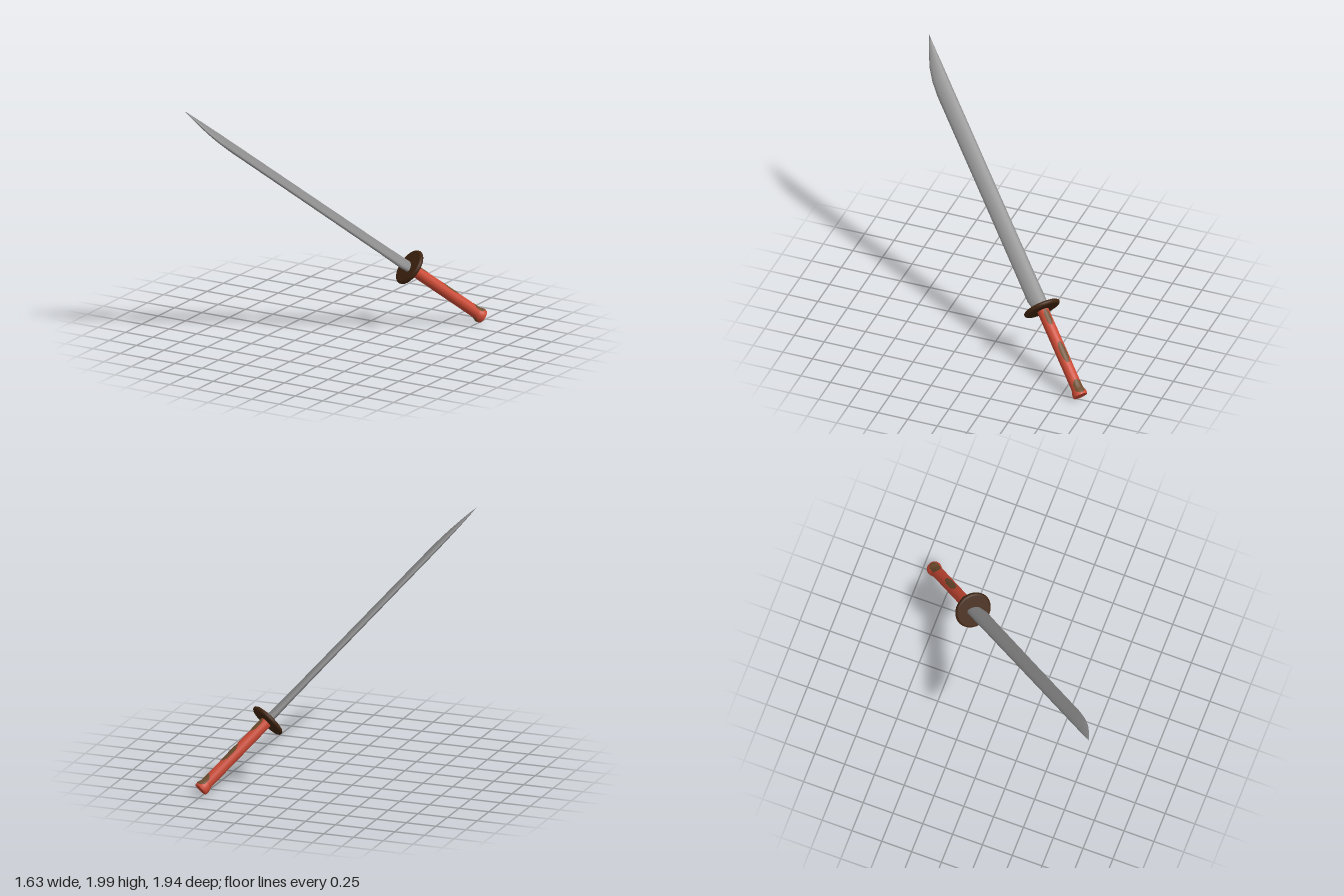
import * as THREE from 'three';
import { mergeVertices } from 'three/addons/utils/BufferGeometryUtils.js';

const mat = (name, color, side = THREE.FrontSide) => {
  const m = new THREE.MeshStandardMaterial({ color, side });
  m.name = name;
  return m;
};

// Smooth surface from a rule fn(row, col) -> [x, y, z]; columns turn from +x to +z
function surface(rows, cols, fn) {
  const pos = [], index = [];
  for (let i = 0; i <= rows; i++)
    for (let j = 0; j <= cols; j++) pos.push(...fn(i, j));
  const w = cols + 1;
  for (let i = 0; i < rows; i++)
    for (let j = 0; j < cols; j++) {
      const a = i * w + j, b = a + w;
      index.push(a, b, a + 1, b, b + 1, a + 1);
    }
  let g = new THREE.BufferGeometry();
  g.setAttribute('position', new THREE.Float32BufferAttribute(pos, 3));
  g.setIndex(index);
  g = mergeVertices(g, 1e-5);
  g.computeVertexNormals();
  return g;
}

const lathe = (pts, n) =>
  new THREE.LatheGeometry(pts.map(([r, y]) => new THREE.Vector2(r, y)), n);

// Handle radius along its length, flaring into the pommel
const handleEnd = -0.77;
const handleRadius = (y) =>
  0.047 + 0.012 * THREE.MathUtils.smoothstep(-y, 0.7, 0.75);

export function createModel() {
  const steel = mat('steel', 0x8c8c8c);
  const brown = mat('dark brown', 0x402410);
  const red = mat('red', 0xcc4a35);
  const patchBrown = mat('patch brown', 0x6e4c2c, THREE.DoubleSide);

  const sword = new THREE.Group();
  sword.name = 'sword';
  const add = (name, geo, m) => {
    const mesh = new THREE.Mesh(geo, m);
    mesh.name = name;
    sword.add(mesh);
  };

  // Blade: [distance from guard, cutting edge, spine, half thickness]
  const stations = [
    [0.0, -0.062, 0.058, 0.034], [0.09, -0.084, 0.06, 0.031],
    [0.3, -0.082, 0.058, 0.027], [1.1, -0.081, 0.056, 0.025],
    [1.9, -0.082, 0.055, 0.024], [2.02, -0.072, 0.055, 0.022],
    [2.13, -0.048, 0.055, 0.018], [2.24, -0.008, 0.054, 0.012],
    [2.32, 0.026, 0.054, 0.006], [2.377, 0.054, 0.054, 0],
  ];
  const sides = 16;
  add('blade', surface(stations.length - 1, sides, (i, j) => {
    const [y, edge, spine, t] = stations[i];
    const f = (j / sides) * Math.PI * 2;
    return [(edge + spine) / 2 + ((spine - edge) / 2) * Math.cos(f), y, t * Math.sin(f)];
  }), steel);

  // Round guard with a softened rim
  add('guard', lathe([
    [0, -0.019], [0.132, -0.019], [0.14, -0.017], [0.148, -0.01], [0.151, 0],
    [0.148, 0.01], [0.14, 0.017], [0.132, 0.019], [0, 0.019],
  ], 40), brown);

  // Handle with flared pommel, and its flat end
  const profile = [[0.057, handleEnd]];
  for (const y of [-0.755, -0.74, -0.73, -0.72, -0.71, -0.7, 0]) profile.push([handleRadius(y), y]);
  add('handle', lathe(profile, 32), red);
  const cap = new THREE.CircleGeometry(0.057, 32);
  cap.rotateX(Math.PI / 2).translate(0, handleEnd, 0);
  add('pommelEnd', cap, red);

  // Worn patches that hug the handle: centre angle, start, end, half angle
  const up = 1.18;
  [
    [up, -0.02, -0.16, 0.5],
    [up, -0.31, -0.49, 0.6],
    [up, -0.64, -0.755, 0.85],
    [up + Math.PI, -0.69, -0.755, 0.7],
  ].forEach(([angle, y0, y1, half], k) => {
    add(`handlePatch${k + 1}`, surface(8, 8, (i, j) => {
      const y = THREE.MathUtils.lerp(y1, y0, i / 8);
      const taper = Math.min(1, 0.35 + 0.325 * Math.min(i, 8 - i));
      const f = angle + half * taper * (j / 4 - 1);
      const r = handleRadius(y) + 0.0015;
      return [r * Math.cos(f), y, r * Math.sin(f)];
    }), patchBrown);
  });

  // Lay the sword along the diagonal: y to the tip, x to the spine
  const along = new THREE.Vector3(-0.494, 0.613, 0.617).normalize();
  const flat = new THREE.Vector3(-0.57, 0.3, -0.77).cross(along).normalize();
  const spineDir = along.clone().cross(flat);
  sword.quaternion.setFromRotationMatrix(new THREE.Matrix4().makeBasis(spineDir, along, flat));
  sword.position.set(0.385, 0.527, -0.444);

  const model = new THREE.Group();
  model.name = 'model';
  model.add(sword);
  return model;
}
